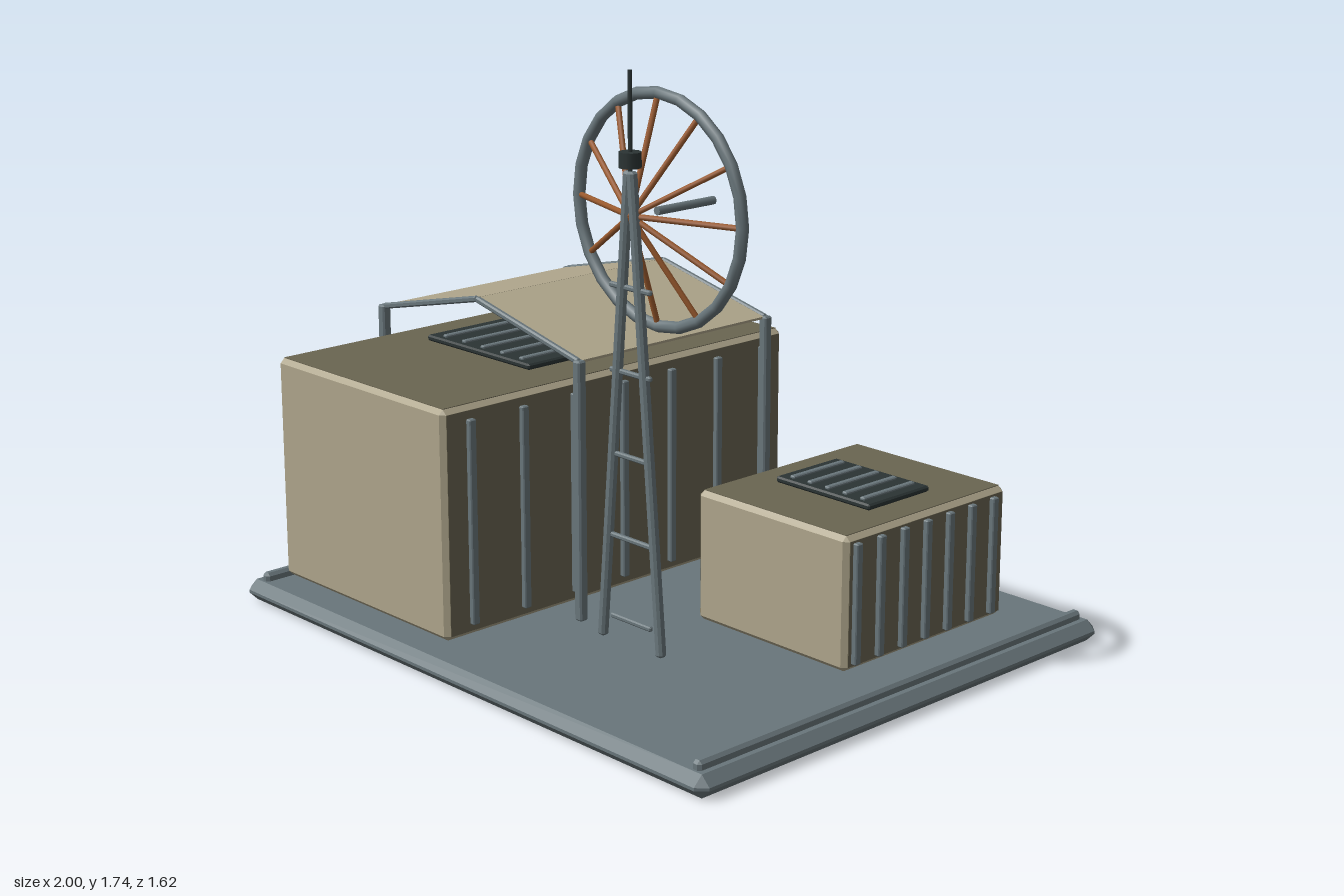
import * as THREE from 'three';
import { ConvexGeometry } from 'three/addons/geometries/ConvexGeometry.js';

const mat = (name, color, side = THREE.FrontSide) => {
  const m = new THREE.MeshStandardMaterial({ color, side });
  m.name = name;
  return m;
};

export function createModel() {
  const model = new THREE.Group();
  model.name = 'compound';
  const steel = mat('steel', 0x69767b);
  const tan = mat('tan wall', 0xaea58b);
  const olive = mat('olive panel', 0x6a6551);
  const dark = mat('dark metal', 0x2b3434);
  const rust = mat('rust', 0x9a5a2e);

  const V = (x, y, z) => new THREE.Vector3(x, y, z);

  // Box with chamfered edges
  function chamferGeo(w, h, d, c) {
    const pts = [];
    for (const sx of [-1, 1]) for (const sy of [-1, 1]) for (const sz of [-1, 1]) {
      const x = sx * w / 2, y = sy * h / 2, z = sz * d / 2;
      pts.push(V(x, y - sy * c, z - sz * c), V(x - sx * c, y, z - sz * c), V(x - sx * c, y - sy * c, z));
    }
    return new ConvexGeometry(pts);
  }
  function add(parent, name, geo, material, x = 0, y = 0, z = 0) {
    const m = new THREE.Mesh(geo, material);
    m.name = name;
    m.position.set(x, y, z);
    parent.add(m);
    return m;
  }
  // Box given by its limits; c is the chamfer
  function box(parent, name, material, [x0, x1], [y0, y1], [z0, z1], c = 0) {
    const w = x1 - x0, h = y1 - y0, d = z1 - z0;
    const geo = c ? chamferGeo(w, h, d, c) : new THREE.BoxGeometry(w, h, d);
    return add(parent, name, geo, material, (x0 + x1) / 2, (y0 + y1) / 2, (z0 + z1) / 2);
  }
  // Bar between two points, square or round
  function bar(parent, name, material, a, b, size, round = false) {
    const len = a.distanceTo(b);
    const geo = round ? new THREE.CylinderGeometry(size / 2, size / 2, len, 8) : chamferGeo(size, len, size, size * 0.25);
    const m = add(parent, name, geo, material);
    m.position.copy(a).add(b).multiplyScalar(0.5);
    m.quaternion.setFromUnitVectors(V(0, 1, 0), b.clone().sub(a).normalize());
    return m;
  }
  function group(name) {
    const g = new THREE.Group();
    g.name = name;
    model.add(g);
    return g;
  }

  // Ground slab and edge rails
  box(model, 'baseSlab', steel, [-1, 1], [0, 0.065], [-0.81, 0.81], 0.028);
  for (const s of [-1, 1])
    box(model, 'edgeRail', steel, [s * 0.94 - 0.016, s * 0.94 + 0.016], [0.055, 0.09], [-0.775, 0.775], 0.009);

  // Shed: tan shell, olive sides and roof, wall ribs, roof vent, rear shutter
  function shed(name, o) {
    const g = group(name);
    const [x0, x1] = o.x, [y0, y1] = o.y, [z0, z1] = o.z, c = 0.014, t = 0.002;
    box(g, 'shell', tan, o.x, o.y, o.z, c);
    box(g, 'roofPanel', olive, [x0 + c, x1 - c], [y1 - t, y1 + t], [z0 + c, z1 - c]);
    for (const x of [x0, x1]) {
      box(g, 'sidePanel', olive, [x - t, x + t], [y0 + c, y1 - c], [z0 + c, z1 - c]);
      const out = x === x0 ? x - 0.008 : x + 0.008;
      for (let i = 0; i < 7; i++) {
        const z = o.ribStart - i * o.ribStep;
        box(g, 'wallRib', steel, [out - 0.01, out + 0.01], o.ribY, [z - 0.012, z + 0.012], 0.003);
      }
    }
    // Roof vent with five slats
    const [vx0, vx1] = o.ventX, [vz0, vz1] = o.ventZ, step = (vx1 - vx0) / 5.35;
    box(g, 'roofVent', dark, o.ventX, [y1 + 0.004, y1 + 0.022], o.ventZ, 0.005);
    for (let i = -2; i <= 2; i++) {
      const x = (vx0 + vx1) / 2 + i * step;
      box(g, 'ventSlat', steel, [x - 0.009, x + 0.009], [y1 + 0.018, y1 + 0.029], [vz0 + 0.02, vz1 - 0.02], 0.003);
    }
    // Shutter and its header on the rear wall
    const [dx0, dx1] = o.doorX;
    box(g, 'shutter', dark, o.doorX, o.doorY, [z0 - 0.012, z0 + 0.005]);
    const n = 12, rs = (dx1 - dx0) / n;
    for (let i = 0; i < n; i++) {
      const x = dx0 + (i + 0.5) * rs;
      box(g, 'shutterRib', dark, [x - rs * 0.25, x + rs * 0.25], o.doorY, [z0 - 0.02, z0 - 0.01]);
    }
    box(g, 'shutterHeader', rust, [dx0 - 0.004, dx1 + 0.004], o.headY, [z0 - 0.03, z0 - 0.014], 0.004);
  }
  shed('largeShed', {
    x: [-0.89, -0.11], y: [0.09, 0.768], z: [-0.61, 0.73],
    ribStart: 0.635, ribStep: 0.192, ribY: [0.125, 0.73],
    ventX: [-0.735, -0.26], ventZ: [-0.19, 0.29],
    doorX: [-0.75, -0.245], doorY: [0.11, 0.61], headY: [0.6, 0.66],
  });
  shed('smallShed', {
    x: [0.235, 0.81], y: [0.09, 0.48], z: [-0.585, 0.085],
    ribStart: 0.047, ribStep: 0.0955, ribY: [0.11, 0.46],
    ventX: [0.345, 0.705], ventZ: [-0.375, -0.12],
    doorX: [0.335, 0.715], doorY: [0.11, 0.385], headY: [0.378, 0.435],
  });

  // Canopy: posts, rafters and pitched sheet
  const canopy = group('canopy');
  const eaveL = -0.92, eaveR = -0.015, ridgeX = -0.4675, eaveY = 0.85, ridgeY = 0.953;
  for (const z of [0.31, -0.44]) {
    for (const x of [eaveL, eaveR])
      box(canopy, 'post', steel, [x - 0.015, x + 0.015], [0.075, 0.855], [z - 0.015, z + 0.015], 0.005);
    for (const x of [eaveL, eaveR])
      bar(canopy, 'rafter', steel, V(x, eaveY, z), V(ridgeX, ridgeY, z), 0.018);
  }
  for (const x of [eaveL, eaveR]) {
    const dx = ridgeX - x, dy = ridgeY - eaveY;
    const sheet = add(canopy, 'roofSheet', new THREE.BoxGeometry(Math.hypot(dx, dy), 0.008, 0.74), tan,
      (x + ridgeX) / 2, (eaveY + ridgeY) / 2, -0.065);
    sheet.rotation.z = Math.atan(dy / dx);
  }

  // Tower: A-frame legs, rungs, lamp drum and mast
  const tower = group('tower');
  const cx = 0.38, cz = 0.475, hubY = 1.355;
  for (const s of [-1, 1])
    bar(tower, 'leg', steel, V(cx + s * 0.117, 0.155, cz), V(cx + s * 0.006, 1.475, cz), 0.027);
  for (let i = 0; i < 5; i++) {
    const y = 0.224 + i * 0.234;
    bar(tower, 'rung', steel, V(cx - 0.08, y, cz), V(cx + 0.08, y, cz), 0.014);
  }
  add(tower, 'drum', new THREE.CylinderGeometry(0.031, 0.031, 0.042, 12), dark, cx, 1.505, cz);
  bar(tower, 'mast', dark, V(cx, 1.46, cz), V(cx, 1.74, cz), 0.012, true);

  // Wheel: dished spokes, rim and axle
  const wheel = group('wheel');
  const R = 0.315, rimZ = 0.375;
  add(wheel, 'rim', new THREE.TorusGeometry(R, 0.017, 8, 24), steel, cx, hubY, rimZ);
  for (let i = 0; i < 12; i++) {
    const a = i * Math.PI / 6;
    bar(wheel, 'spoke', rust, V(cx, hubY, cz), V(cx + R * Math.cos(a), hubY + R * Math.sin(a), rimZ), 0.016, true);
  }
  bar(wheel, 'axle', steel, V(cx, hubY, 0.38), V(cx, hubY, 0.17), 0.024, true);

  return model;
}
